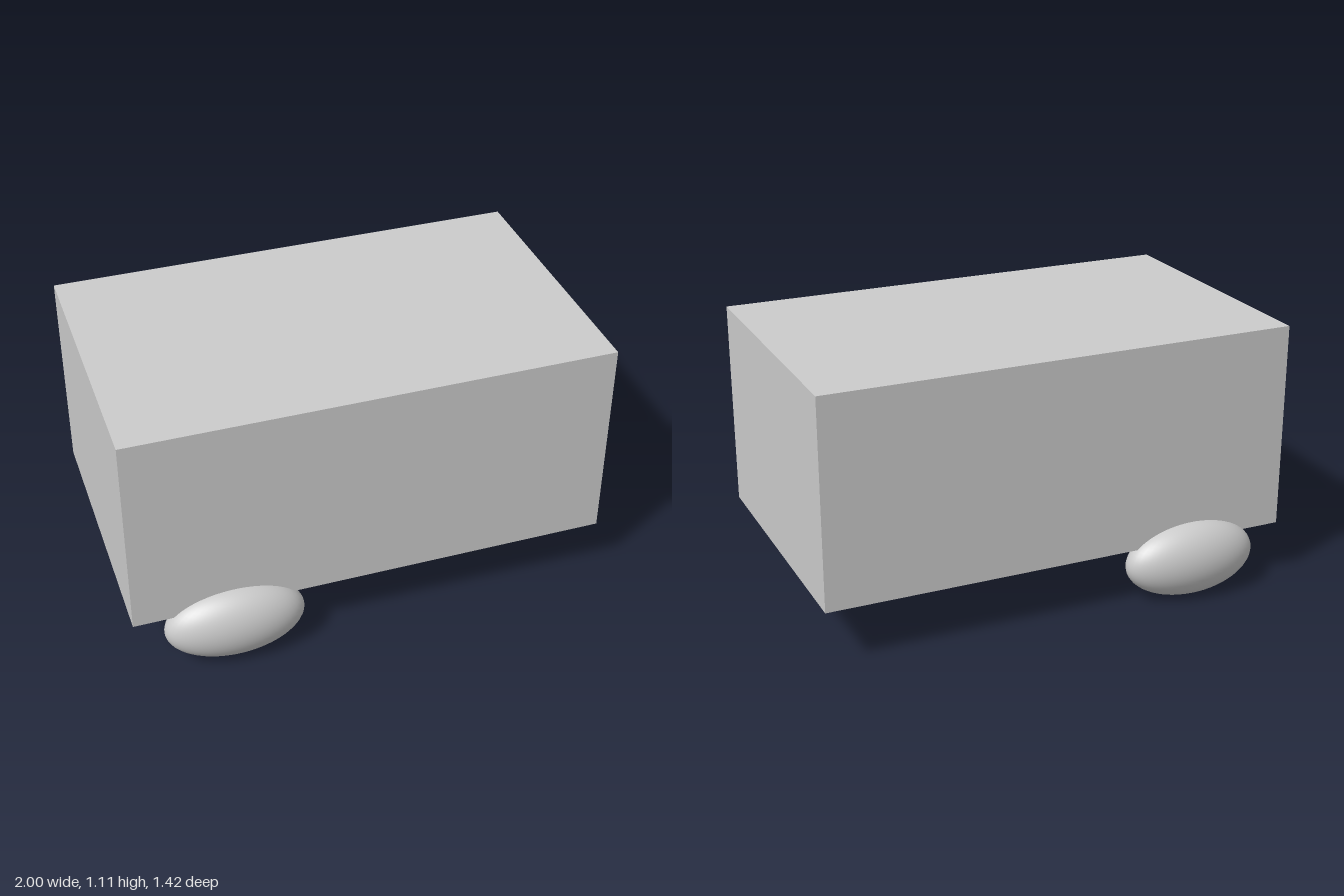
import * as THREE from 'three';

export function createModel() {
  const group = new THREE.Group();
  const material = new THREE.MeshStandardMaterial({ color: 0xcccccc });

  // Plain box body
  const body = new THREE.Mesh(new THREE.BoxGeometry(2, 0.87, 1.19), material);
  body.name = 'body';
  body.position.y = 0.675;
  group.add(body);

  // Three stretched ball wheels: a pair at one end, a single one at the other
  const wheelGeometry = new THREE.SphereGeometry(1, 48, 32).scale(0.29, 0.16, 0.128);
  const wheels = [
    ['frontWheel', -0.585, 0.584],
    ['backWheel', -0.585, -0.584],
    ['middleWheel', 0.645, 0],
  ];
  for (const [name, x, z] of wheels) {
    const wheel = new THREE.Mesh(wheelGeometry, material);
    wheel.name = name;
    wheel.position.set(x, 0.16, z);
    group.add(wheel);
  }
  return group;
}
